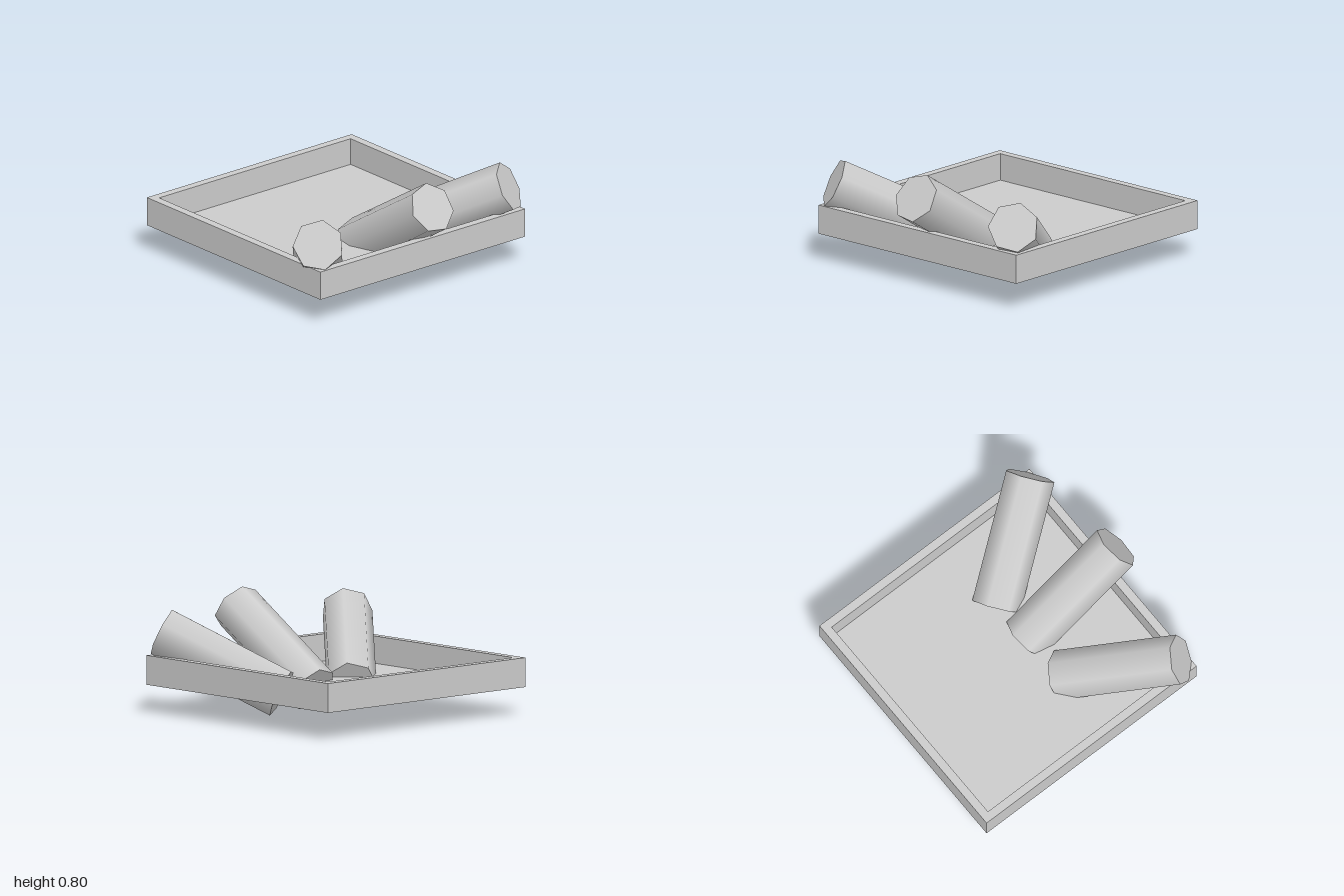
import * as THREE from 'three';

const material = new THREE.MeshStandardMaterial({ color: 0xcccccc });

function add(group, name, geometry) {
  const mesh = new THREE.Mesh(geometry, material);
  mesh.name = name;
  group.add(mesh);
  return mesh;
}

// Seven-sided rod between two end centres; `corner` points from the axis to one corner of the end
function addRod(group, name, low, high, corner) {
  const a = new THREE.Vector3(...low);
  const b = new THREE.Vector3(...high);
  const axis = b.clone().sub(a);
  const length = axis.length();
  axis.normalize();
  const z = new THREE.Vector3(...corner).projectOnPlane(axis).normalize();
  const x = new THREE.Vector3().crossVectors(axis, z);
  const rod = add(group, name, new THREE.CylinderGeometry(0.177, 0.177, length, 7));
  rod.quaternion.setFromRotationMatrix(new THREE.Matrix4().makeBasis(x, axis, z));
  rod.position.copy(a).add(b).multiplyScalar(0.5);
}

function rectangle(target, w, d) {
  target.moveTo(-w / 2, -d / 2);
  target.lineTo(w / 2, -d / 2);
  target.lineTo(w / 2, d / 2);
  target.lineTo(-w / 2, d / 2);
  target.closePath();
  return target;
}

export function createModel() {
  const model = new THREE.Group();
  model.name = 'trayWithRods';

  // Square tray: one-piece rim with a thin floor set inside it
  const tray = new THREE.Group();
  tray.name = 'tray';
  tray.position.set(0.005, 0.2, -0.075);
  const rim = rectangle(new THREE.Shape(), 1.85, 1.85);
  rim.holes.push(rectangle(new THREE.Path(), 1.73, 1.73));
  const rimGeometry = new THREE.ExtrudeGeometry(rim, { depth: 0.205, bevelEnabled: false });
  rimGeometry.rotateX(-Math.PI / 2);
  add(tray, 'trayRim', rimGeometry);
  add(tray, 'trayFloor', new THREE.BoxGeometry(1.73, 0.015, 1.73)).position.y = 0.0075;
  model.add(tray);

  // Three rods fanned out over the front edge, their low ends piercing the floor
  addRod(model, 'rightRod', [-0.312, 0.161, 0.117], [-0.86, 0.561, 0.757], [0.071, 0.156, -0.037]);
  addRod(model, 'middleRod', [0.046, 0.16, 0.112], [0.041, 0.655, 0.907], [0.025, 0.15, -0.092]);
  addRod(model, 'leftRod', [0.356, 0.168, 0.097], [0.841, 0.573, 0.782], [-0.011, 0.156, -0.085]);

  return model;
}
